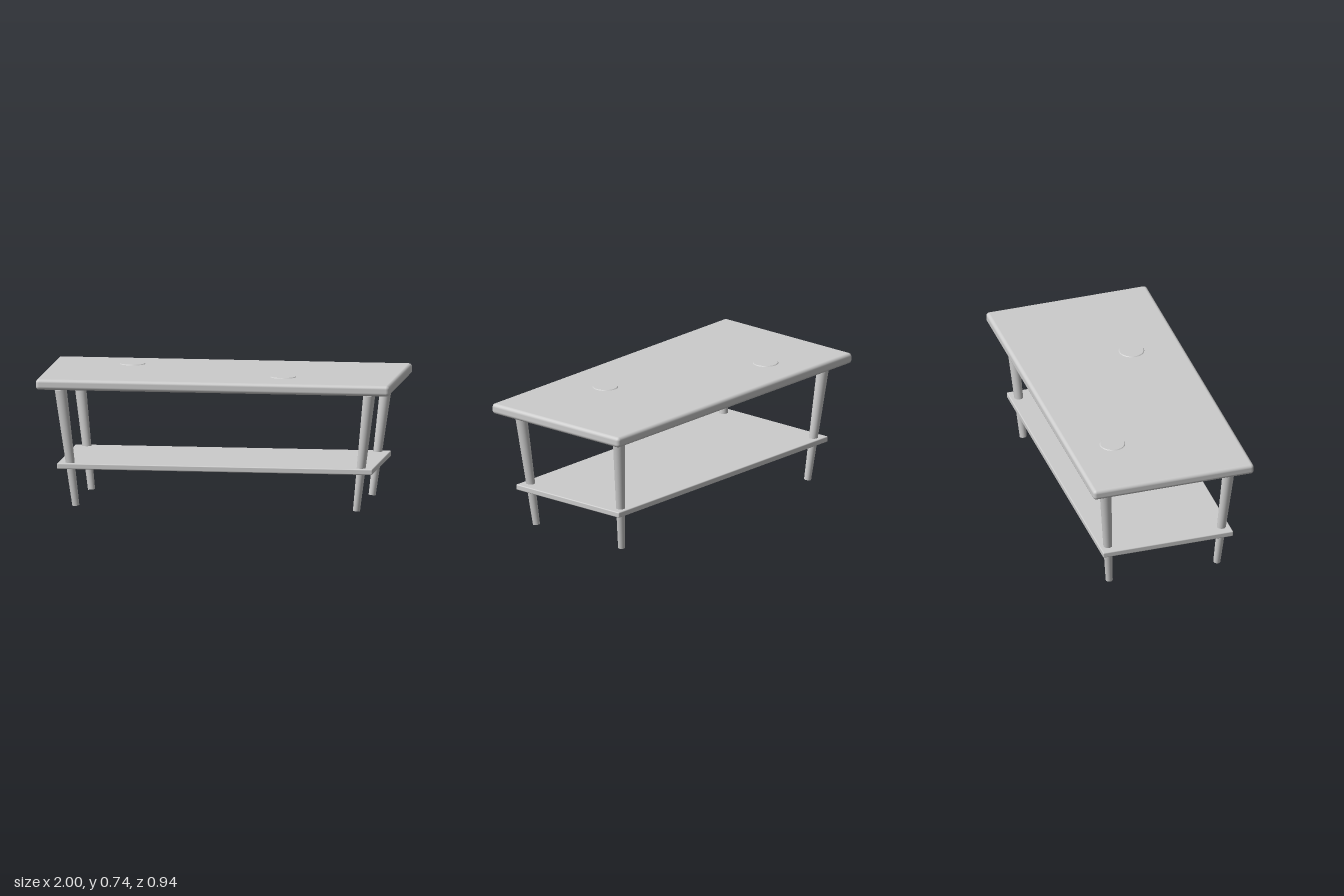
import * as THREE from 'three';
import { RoundedBoxGeometry } from 'three/addons/geometries/RoundedBoxGeometry.js';

export function createModel() {
  const table = new THREE.Group();
  table.name = 'coffeeTable';
  const grey = new THREE.MeshStandardMaterial({ color: 0xcccccc });
  grey.name = 'light grey';

  const add = (name, geometry, x, y, z) => {
    const mesh = new THREE.Mesh(geometry, grey);
    mesh.name = name;
    mesh.position.set(x, y, z);
    table.add(mesh);
    return mesh;
  };

  // Thick top with softened edges, and a thinner shelf below
  add('tableTop', new RoundedBoxGeometry(2, 0.06, 0.944, 4, 0.02), 0, 0.702, 0);
  add('shelf', new RoundedBoxGeometry(1.784, 0.032, 0.764, 3, 0.006), 0, 0.231, 0);

  // Tapered round legs, splayed outwards towards the top
  const up = new THREE.Vector3(0, 1, 0);
  for (const sx of [-1, 1]) {
    for (const sz of [-1, 1]) {
      const foot = new THREE.Vector3(sx * 0.793, 0.003, sz * 0.316);
      const head = new THREE.Vector3(sx * 0.872, 0.665, sz * 0.364);
      const axis = head.clone().sub(foot);
      const middle = foot.clone().add(head).multiplyScalar(0.5);
      const name = (sz > 0 ? 'front' : 'back') + (sx > 0 ? 'Left' : 'Right') + 'Leg';
      const leg = add(name, new THREE.CylinderGeometry(0.034, 0.02, axis.length(), 32), ...middle);
      leg.quaternion.setFromUnitVectors(up, axis.normalize());
    }
  }

  // Two thin coasters resting on the top
  for (const [name, x, z] of [['backCoaster', -0.547, -0.219], ['frontCoaster', 0.36, 0.182]]) {
    add(name, new THREE.CylinderGeometry(0.068, 0.074, 0.006, 40), x, 0.733, z);
  }

  return table;
}
